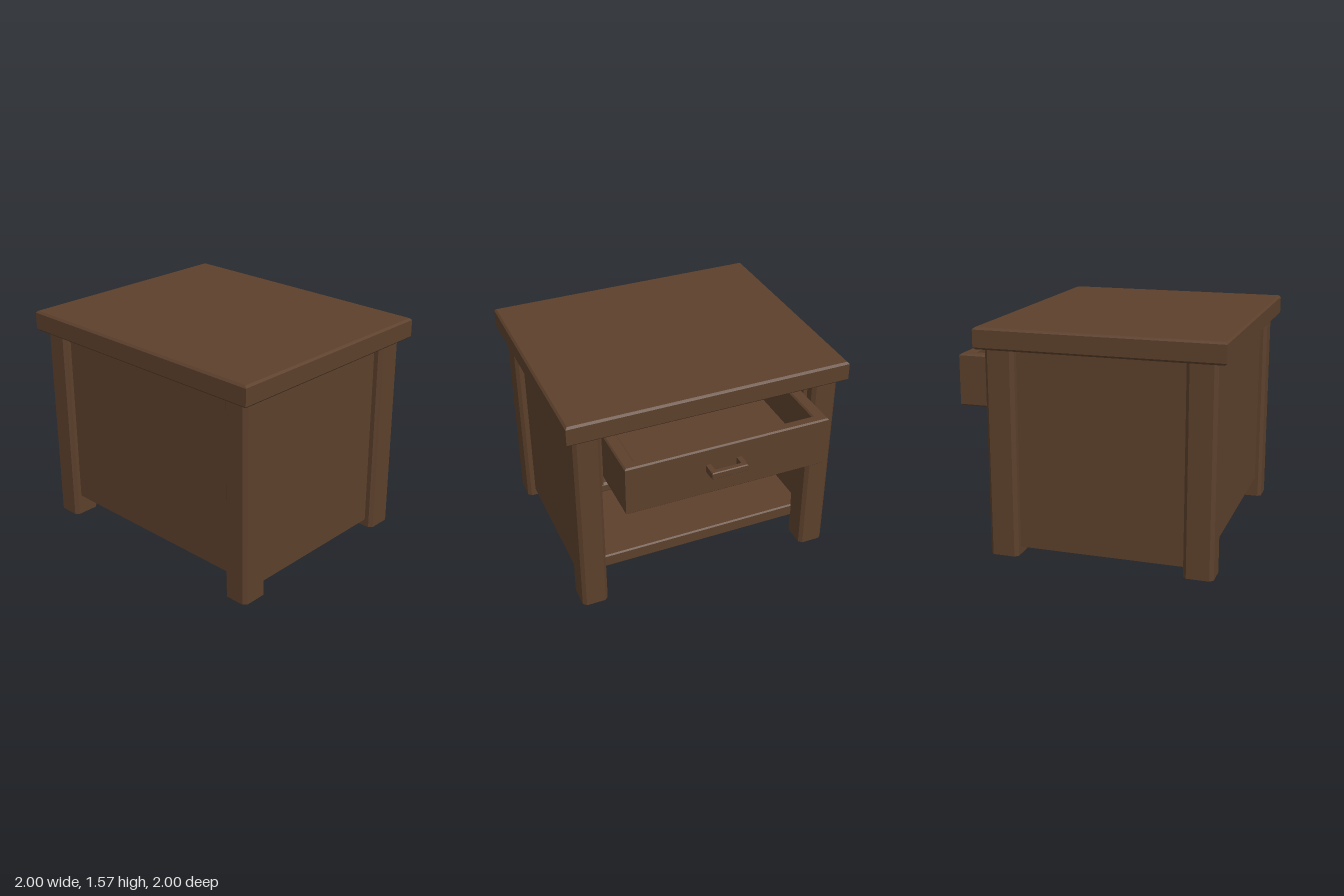
import * as THREE from 'three';
import { ConvexGeometry } from 'three/addons/geometries/ConvexGeometry.js';

// Plain box given by its limits
function box([x0, x1], [y0, y1], [z0, z1]) {
  return new THREE.BoxGeometry(x1 - x0, y1 - y0, z1 - z0)
    .translate((x0 + x1) / 2, (y0 + y1) / 2, (z0 + z1) / 2);
}

// Box whose top and bottom rims are chamfered by b
function slab([x0, x1], [y0, y1], [z0, z1], b) {
  const pts = [];
  for (const [y, i] of [[y0, b], [y0 + b, 0], [y1 - b, 0], [y1, b]])
    for (const x of [x0 + i, x1 - i])
      for (const z of [z0 + i, z1 - i]) pts.push(new THREE.Vector3(x, y, z));
  return new ConvexGeometry(pts);
}

// Upright post with chamfered corners and open ends
function post([x0, x1], [y0, y1], [z0, z1], b) {
  const ring = [
    [x0 + b, z1], [x1 - b, z1], [x1, z1 - b], [x1, z0 + b],
    [x1 - b, z0], [x0 + b, z0], [x0, z0 + b], [x0, z1 - b]];
  const pos = [];
  ring.forEach(([ax, az], i) => {
    const [bx, bz] = ring[(i + 1) % ring.length];
    pos.push(ax, y0, az, bx, y0, bz, bx, y1, bz, ax, y0, az, bx, y1, bz, ax, y1, az);
  });
  const geo = new THREE.BufferGeometry();
  geo.setAttribute('position', new THREE.Float32BufferAttribute(pos, 3));
  geo.computeVertexNormals();
  return geo;
}

export function createModel() {
  const model = new THREE.Group();
  model.name = 'nightstand';
  const wood = new THREE.MeshStandardMaterial({ color: 0x5c402c, side: THREE.DoubleSide });
  wood.name = 'dark wood';

  function add(parent, name, geometry) {
    const mesh = new THREE.Mesh(geometry, wood);
    mesh.name = name;
    parent.add(mesh);
  }
  function group(name) {
    const g = new THREE.Group();
    g.name = name;
    model.add(g);
    return g;
  }

  // Table top
  add(model, 'tableTop', slab([-1, 0.669], [1.423, 1.568], [-1, 1], 0.014));

  // Four chamfered legs
  const legs = group('legs');
  for (const x of [[-0.94, -0.737], [0.409, 0.611]])
    for (const z of [[-0.959, -0.772], [0.757, 0.943]])
      add(legs, 'leg', post(x, [0, 1.425], z, 0.024));

  // Side and back panels, set in from the legs
  const panels = group('panels');
  add(panels, 'leftPanel', box([-0.77, 0.44], [0.053, 1.425], [0.83, 0.885]));
  add(panels, 'rightPanel', box([-0.77, 0.44], [0.053, 1.425], [-0.9, -0.845]));
  add(panels, 'backPanel', box([-0.89, -0.83], [0.147, 1.425], [-0.8, 0.785]));

  // Lower shelf with its front rail, set back between the legs
  add(model, 'shelf', box([-0.84, 0.41], [0.19, 0.24], [-0.845, 0.83]));
  add(model, 'shelfRail', slab([0.38, 0.44], [0.145, 0.245], [-0.845, 0.83], 0.01));

  // Drawer bay: floor board and face frame
  const bay = group('drawerBay');
  const frontX = [0.47, 0.53];
  add(bay, 'bayFloor', box([-0.84, 0.5], [0.905, 0.95], [-0.845, 0.83]));
  add(bay, 'bottomRail', slab(frontX, [0.889, 0.962], [-0.8, 0.785], 0.015));
  add(bay, 'topRail', box(frontX, [1.343, 1.425], [-0.8, 0.785]));
  add(bay, 'rightStile', box(frontX, [0.95, 1.35], [-0.8, -0.742]));
  add(bay, 'leftStile', box(frontX, [0.95, 1.35], [0.727, 0.785]));

  // Open drawer
  const drawer = group('drawer');
  const height = [0.968, 1.328];
  add(drawer, 'drawerFront', slab([0.828, 0.9], height, [-0.731, 0.708], 0.01));
  add(drawer, 'drawerBack', slab([-0.6, -0.52], height, [-0.731, 0.708], 0.01));
  add(drawer, 'drawerRightWall', slab([-0.58, 0.88], height, [-0.731, -0.642], 0.01));
  add(drawer, 'drawerLeftWall', slab([-0.58, 0.88], height, [0.62, 0.708], 0.01));
  add(drawer, 'drawerFloor', box([-0.56, 0.86], [0.968, 1.05], [-0.66, 0.64]));

  // Square pull handle
  const handle = group('handle');
  const grip = [1.155, 1.205];
  add(handle, 'handleBar', slab([0.96, 1], grip, [-0.095, 0.158], 0.006));
  for (const z of [[-0.095, -0.06], [0.123, 0.158]])
    add(handle, 'handlePost', box([0.89, 0.97], grip, z));

  return model;
}
